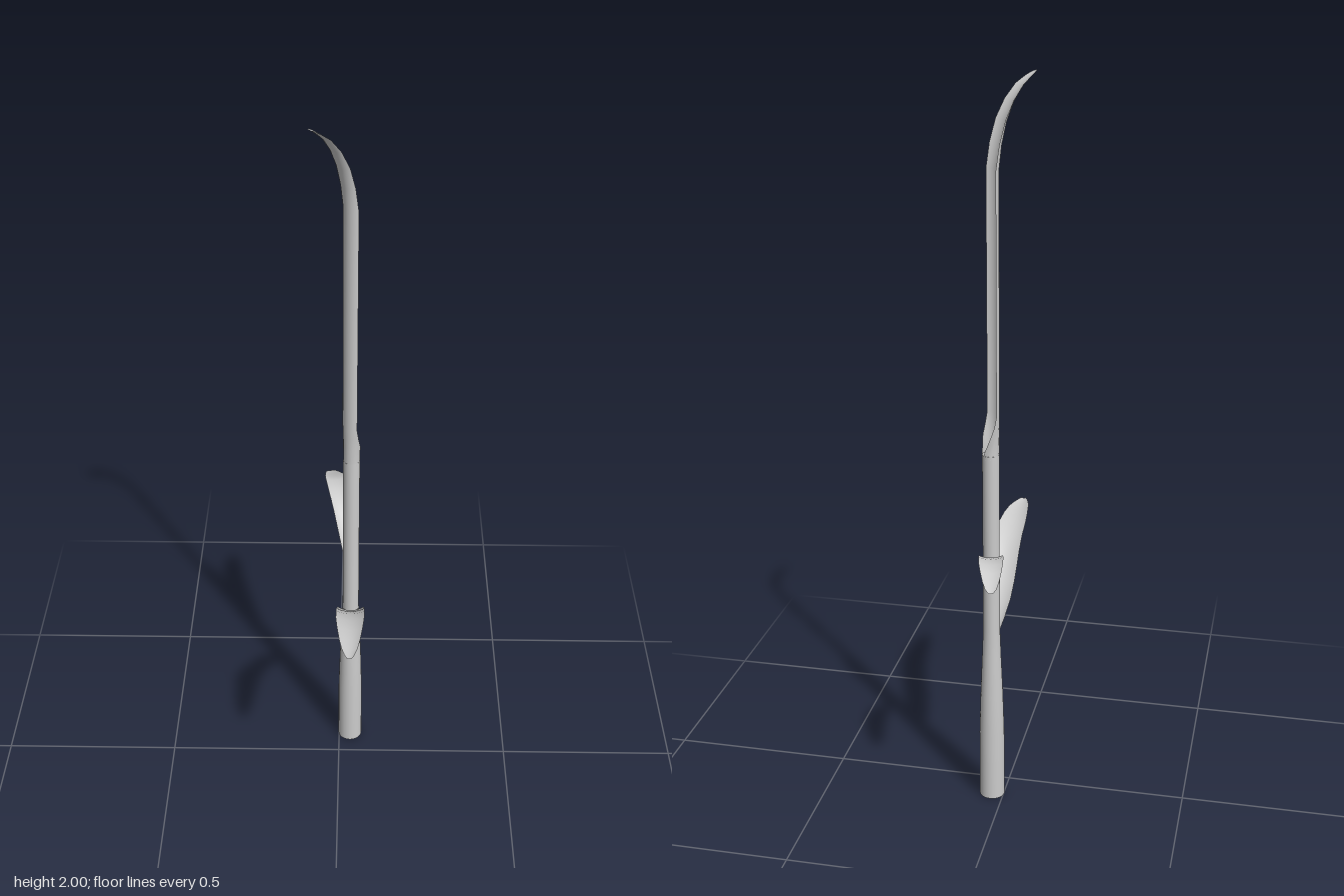
import * as THREE from 'three';

const AXIS = new THREE.Vector3(0.033, 0, -0.078); // stem centre line
const UP = new THREE.Vector3(0, 1, 0);
const material = new THREE.MeshStandardMaterial({ color: 0xcccccc, side: THREE.DoubleSide });

// Channelled leaf growing towards (dx, dz).
// Each row: distance from the stem axis, height, half width, half angle of the arc section.
function leaf(name, dx, dz, rows, segments = 12) {
  const out = new THREE.Vector3(dx, 0, dz).normalize();
  const side = new THREE.Vector3().crossVectors(UP, out);
  const spine = rows.map(([s, y]) => AXIS.clone().addScaledVector(out, s).setY(y));
  const positions = [], index = [];
  rows.forEach(([, , w, angle], i) => {
    const tangent = spine[Math.min(i + 1, rows.length - 1)].clone()
      .sub(spine[Math.max(i - 1, 0)]).normalize();
    const under = new THREE.Vector3().crossVectors(side, tangent);
    // past a half circle the half width is simply the radius
    const r = angle > Math.PI / 2 ? w : w / Math.sin(angle);
    for (let j = 0; j <= segments; j++) {
      const a = angle * (2 * j / segments - 1);
      const p = spine[i].clone()
        .addScaledVector(side, r * Math.sin(a))
        .addScaledVector(under, -r * (1 - Math.cos(a)));
      positions.push(p.x, p.y, p.z);
      if (i && j) {
        const d = i * (segments + 1) + j, c = d - 1;
        const b = d - segments - 1, e = b - 1;
        index.push(e, b, d, e, d, c);
      }
    }
  });
  const geometry = new THREE.BufferGeometry();
  geometry.setAttribute('position', new THREE.Float32BufferAttribute(positions, 3));
  geometry.setIndex(index);
  geometry.computeVertexNormals();
  const mesh = new THREE.Mesh(geometry, material);
  mesh.name = name;
  return mesh;
}

export function createModel() {
  const group = new THREE.Group();
  group.name = 'grassStalk';

  // Stem: thick foot, tapering to a slender tube
  const profile = [
    [0.035, 0], [0.0345, 0.2], [0.031, 0.32], [0.026, 0.44],
    [0.023, 0.52], [0.0225, 0.75], [0.0225, 1.03],
  ].map(([r, y]) => new THREE.Vector2(r, y));
  const stem = new THREE.Mesh(new THREE.LatheGeometry(profile, 24), material);
  stem.position.copy(AXIS);
  stem.name = 'stem';
  group.add(stem);

  // Flat ends of the stem
  for (const [name, r, y, turn] of [['stemBase', 0.035, 0, 1], ['stemTop', 0.0225, 1.03, -1]]) {
    const cap = new THREE.Mesh(new THREE.CircleGeometry(r, 24), material);
    cap.rotation.x = turn * Math.PI / 2;
    cap.position.copy(AXIS).setY(y);
    cap.name = name;
    group.add(cap);
  }

  // Top blade: the stem opens into a channel and curls over at the tip
  group.add(leaf('topBlade', -0.102, 0.078, [
    [0.0225, 1.02, 0.0225, Math.PI], [0.0225, 1.04, 0.0225, 2.8],
    [0.0225, 1.08, 0.0245, 2.0], [0.0225, 1.11, 0.027, 1.5],
    [0.0225, 1.14, 0.028, 1.2], [0.0225, 1.45, 0.028, 1.2],
    [0.0225, 1.77, 0.028, 1.2], [0.030, 1.83, 0.028, 1.1],
    [0.043, 1.885, 0.0275, 0.95], [0.062, 1.93, 0.025, 0.8],
    [0.086, 1.965, 0.021, 0.7], [0.108, 1.985, 0.015, 0.6],
    [0.122, 1.996, 0.009, 0.5], [0.128, 2.0, 0.003, 0.4],
  ]));

  // Lower leaf: long, towards the front
  group.add(leaf('frontLeaf', 0, 1, [
    [0.012, 0.5, 0.018, 0.9], [0.045, 0.527, 0.027, 0.75],
    [0.085, 0.57, 0.037, 0.55], [0.13, 0.602, 0.038, 0.45],
    [0.165, 0.632, 0.038, 0.45], [0.2, 0.667, 0.038, 0.45],
    [0.24, 0.693, 0.038, 0.45], [0.285, 0.709, 0.038, 0.5],
    [0.33, 0.717, 0.034, 0.5], [0.375, 0.72, 0.028, 0.5],
    [0.41, 0.72, 0.021, 0.5], [0.435, 0.721, 0.013, 0.5],
    [0.448, 0.723, 0.006, 0.5],
  ]));

  // Upper leaf: arching towards the back
  group.add(leaf('backLeaf', -0.21, -0.978, [
    [0.015, 0.685, 0.018, 0.9], [0.035, 0.71, 0.022, 0.75],
    [0.065, 0.745, 0.026, 0.6], [0.1, 0.777, 0.029, 0.45],
    [0.135, 0.797, 0.031, 0.4], [0.17, 0.808, 0.032, 0.4],
    [0.21, 0.811, 0.031, 0.4], [0.24, 0.803, 0.027, 0.4],
    [0.27, 0.79, 0.021, 0.4], [0.293, 0.781, 0.014, 0.4],
    [0.304, 0.777, 0.006, 0.4],
  ]));

  return group;
}
